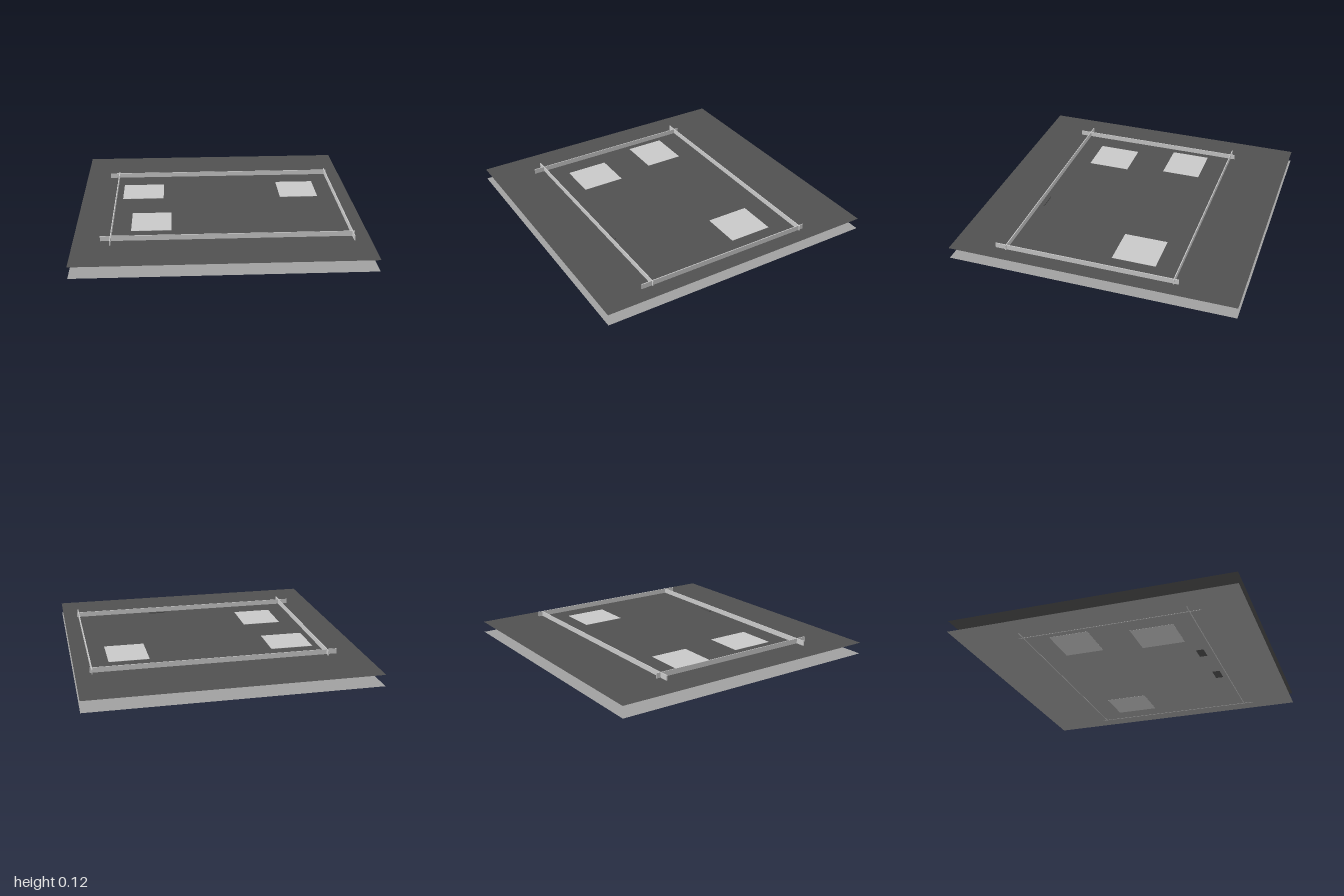
import * as THREE from 'three';

export function createModel() {
  const model = new THREE.Group();
  const material = (name, color) =>
    new THREE.MeshStandardMaterial({ name, color, side: THREE.DoubleSide });
  const darkGrey = material('darkGrey', 0x505050);
  const midGrey = material('midGrey', 0xa0a0a0);
  const paleGrey = material('paleGrey', 0xc8c8c8);

  const deckY = 0.082; // height of the upper sheet
  const wallTop = 0.118;

  // Box given by its minimum and maximum on each axis
  function block(name, mat, [x0, x1], [y0, y1], [z0, z1]) {
    const mesh = new THREE.Mesh(new THREE.BoxGeometry(x1 - x0, y1 - y0, z1 - z0), mat);
    mesh.position.set((x0 + x1) / 2, (y0 + y1) / 2, (z0 + z1) / 2);
    mesh.name = name;
    model.add(mesh);
  }

  // Horizontal square sheet, with optional rectangular openings
  function sheet(name, mat, y, openings = []) {
    const rectangle = (path, x0, x1, z0, z1) =>
      path.moveTo(x0, -z0).lineTo(x1, -z0).lineTo(x1, -z1).lineTo(x0, -z1).closePath();
    const shape = new THREE.Shape();
    rectangle(shape, -1, 1, -1, 1);
    for (const o of openings) {
      const hole = new THREE.Path();
      rectangle(hole, ...o);
      shape.holes.push(hole);
    }
    const mesh = new THREE.Mesh(new THREE.ShapeGeometry(shape).rotateX(-Math.PI / 2), mat);
    mesh.position.y = y;
    mesh.name = name;
    model.add(mesh);
  }

  // The two thin sheets
  sheet('lowerSheet', midGrey, 0.001, [[0.21, 0.33, 0.53, 0.585], [-0.18, -0.07, 0.51, 0.565]]);
  sheet('upperSheet', darkGrey, deckY);

  // Four thin walls that cross at the corners and run a little past them
  const t = 0.003;
  for (const z of [-0.555, 0.622])
    block('longWall', paleGrey, [-0.818, 0.9], [0, wallTop], [z - t, z + t]);
  for (const x of [-0.748, 0.887])
    block('crossWall', paleGrey, [x - t, x + t], [0, wallTop], [-0.588, 0.7]);

  // Square blocks that show on both sheets
  const pads = [
    [[-0.7, -0.397], [-0.383, -0.104]],
    [[0.476, 0.759], [-0.394, -0.088]],
    [[-0.617, -0.338], [0.169, 0.474]],
  ];
  for (const [x, z] of pads) block('squareBlock', paleGrey, x, [0, deckY + 0.002], z);

  // Small dark strip beside the front wall
  block('darkStrip', darkGrey, [0.21, 0.33], [deckY, deckY + 0.008], [0.581, 0.589]);

  return model;
}
